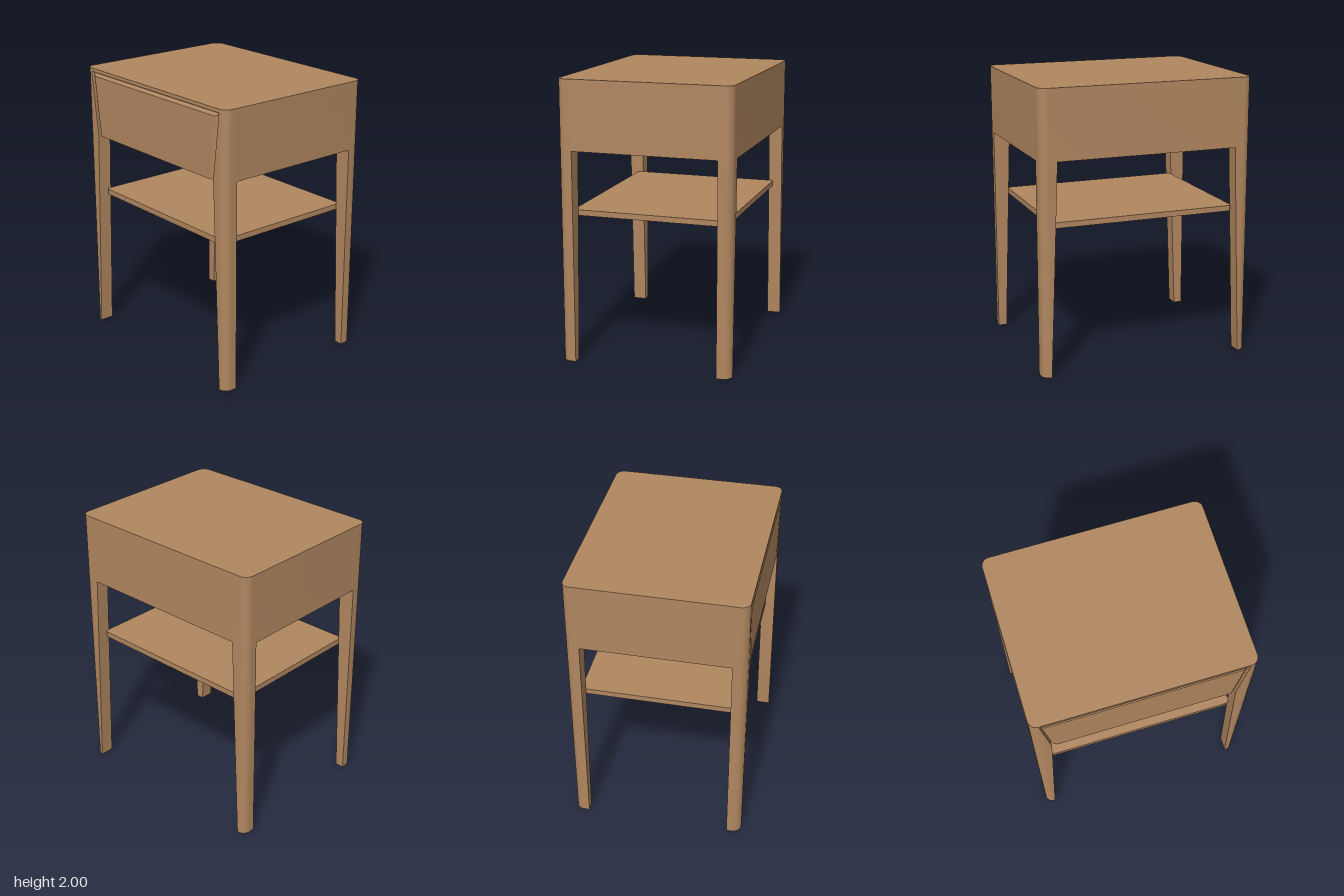
import * as THREE from 'three';
import { toCreasedNormals } from 'three/addons/utils/BufferGeometryUtils.js';

const W = 0.77, D = 0.615, R = 0.06;      // half width, half depth, corner radius
const LEG_Z = 0.515;                      // inner face of the legs
const BODY_Y = 1.51, RAIL_Y = 1.975, TOP_Y = 2;

// Rectangle with its own radius at each corner: [x0y0, x1y0, x1y1, x0y1]
function roundedRect(x0, x1, y0, y1, [a, b, c, d]) {
  const s = new THREE.Shape();
  const arc = (x, y, r, start) => {
    if (r > 0) s.absarc(x, y, r, start, start + Math.PI / 2, false);
    else s.lineTo(x, y);
  };
  s.moveTo(x0 + a, y0);
  s.lineTo(x1 - b, y0);
  arc(x1 - b, y0 + b, b, -Math.PI / 2);
  s.lineTo(x1, y1 - c);
  arc(x1 - c, y1 - c, c, 0);
  s.lineTo(x0 + d, y1);
  arc(x0 + d, y1 - d, d, Math.PI / 2);
  s.lineTo(x0, y0 + a);
  arc(x0 + a, y0 + a, a, Math.PI);
  return s;
}

// Extrude a plan outline (shape y = -z) upwards from y0 to y1
function upright(shape, y0, y1, steps = 1) {
  const g = new THREE.ExtrudeGeometry(shape, { depth: y1 - y0, steps, bevelEnabled: false, curveSegments: 10 });
  return g.rotateX(-Math.PI / 2).translate(0, y0, 0);
}

// Leg with a rounded outer corner; inner[] gives the inner x at each of levels[]
function legGeometry(sx, sz, levels, inner) {
  const x0 = sx > 0 ? 0.6 : -W, x1 = sx > 0 ? W : -0.6;
  const y0 = sz > 0 ? -D : LEG_Z, y1 = sz > 0 ? -LEG_Z : D;
  const radii = [[-1, 1], [1, 1], [1, -1], [-1, -1]].map(([cx, cz]) => (cx === sx && cz === sz ? R : 0));
  const n = levels.length - 1;
  const g = upright(roundedRect(x0, x1, y0, y1, radii), 0, n, n);
  const p = g.attributes.position;
  for (let i = 0; i < p.count; i++) {
    const k = Math.round(p.getY(i));
    p.setY(i, levels[k]);
    if (Math.abs(p.getX(i)) < 0.61) p.setX(i, sx * inner[k]);
  }
  return toCreasedNormals(g, 0.5);
}

// Tapered board facing front, wider at the top
function taperedBoard(halfTop, halfBottom, yTop, z0, z1) {
  const s = new THREE.Shape();
  s.moveTo(-halfBottom, BODY_Y);
  s.lineTo(halfBottom, BODY_Y);
  s.lineTo(halfTop, yTop);
  s.lineTo(-halfTop, yTop);
  s.closePath();
  return new THREE.ExtrudeGeometry(s, { depth: z1 - z0, bevelEnabled: false }).translate(0, 0, z0);
}

export function createModel() {
  const model = new THREE.Group();
  const wood = new THREE.MeshStandardMaterial({ color: 0xb0865f });
  wood.name = 'wood';
  const add = (name, geometry) => {
    const mesh = new THREE.Mesh(geometry, wood);
    mesh.name = name;
    model.add(mesh);
  };

  // Table top and cabinet body
  add('top', toCreasedNormals(upright(roundedRect(-W, W, -D, D, [R, R, R, R]), RAIL_Y, TOP_Y), 0.5));
  add('body', toCreasedNormals(upright(roundedRect(-W, W, -LEG_Z, D, [0, 0, R, R]), BODY_Y, RAIL_Y), 0.5));

  // Legs; the front pair continue up as the cheeks beside the drawer
  for (const sx of [-1, 1]) {
    const side = sx > 0 ? 'Left' : 'Right';
    add('front' + side + 'Leg', legGeometry(sx, 1, [0, BODY_Y, RAIL_Y], [0.708, 0.65, 0.708]));
    add('back' + side + 'Leg', legGeometry(sx, -1, [0, BODY_Y], [0.708, 0.65]));
  }

  // Drawer: backing closes the gap, front has bevelled top and sides
  add('drawerBacking', taperedBoard(0.708, 0.65, RAIL_Y, LEG_Z, 0.585));
  add('drawerEdge', taperedBoard(0.699, 0.641, 1.965, 0.585, 0.597));
  const panel = taperedBoard(0.699, 0.641, 1.965, 0.597, D);
  const p = panel.attributes.position;
  for (let i = 0; i < p.count; i++) {
    if (p.getZ(i) < 0.61) continue;
    const upper = p.getY(i) > 1.7;
    p.setX(i, Math.sign(p.getX(i)) * (upper ? 0.67 : 0.615));
    if (upper) p.setY(i, 1.945);
  }
  panel.computeVertexNormals();
  add('drawerFront', panel);

  // Shelf between the legs
  const r = 0.03;
  add('shelf', toCreasedNormals(upright(roundedRect(-0.667, 0.667, -0.55, 0.55, [r, r, r, r]), 1.04, 1.08), 0.5));

  return model;
}
